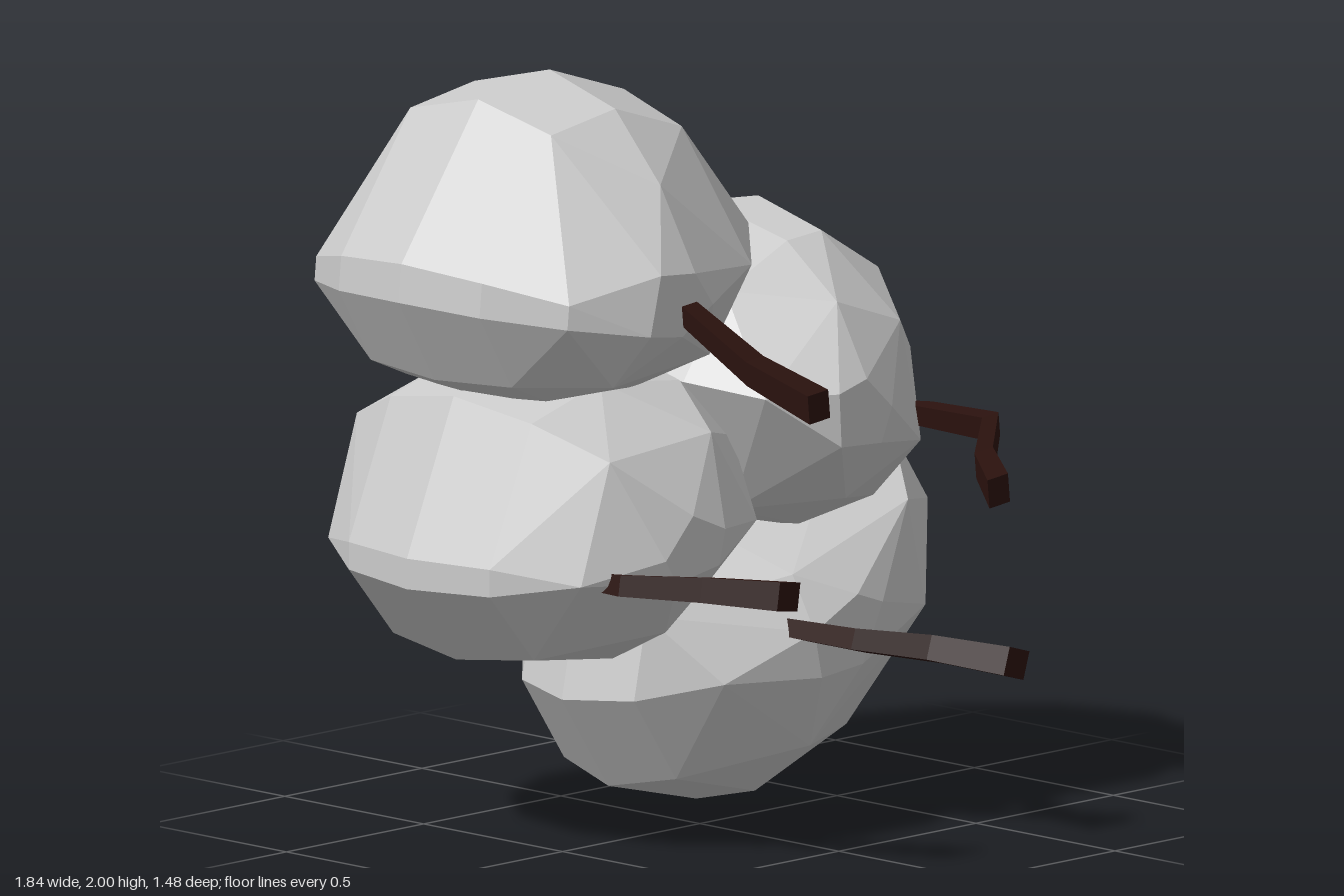
import * as THREE from 'three';
import { ConvexGeometry } from 'three/addons/geometries/ConvexGeometry.js';

const foliage = new THREE.MeshStandardMaterial({ color: 0xcccccc, flatShading: true });
const bark = new THREE.MeshStandardMaterial({ color: 0x2b120e, flatShading: true });

// Box around a list of [x, y] points
const boxOf = (ring) => new THREE.Box2().setFromPoints(ring.map(([x, y]) => new THREE.Vector2(x, y)));

// Faceted lump: its front outline is repeated from back to front, shrinking
// towards the poles like a globe's parallels, and skinned as a hull.
function makeClump({ name, outline, back, front, pole }) {
  const box = boxOf(outline);
  const middle = box.getCenter(new THREE.Vector2());
  const half = box.getSize(new THREE.Vector2()).multiplyScalar(0.5);
  const points = [];
  for (let k = -3; k <= 3; k++) {
    const angle = THREE.MathUtils.degToRad(26 * k);
    const t = Math.sin(angle) / Math.sin(THREE.MathUtils.degToRad(78));
    const z = THREE.MathUtils.mapLinear(t, -1, 1, back, front);
    const centre = middle.clone().lerp(new THREE.Vector2(...pole), t * t);
    // The middle rings keep every corner, the others every second one in turn
    const ring = outline.filter((_, i) => Math.abs(k) < 2 || i % 2 === Math.abs(k) % 2);
    const size = boxOf(ring).getSize(new THREE.Vector2());
    const mid = boxOf(ring).getCenter(new THREE.Vector2());
    const scale = 2 * Math.cos(angle);
    ring.forEach(([x, y]) => points.push(new THREE.Vector3(
      centre.x + (x - mid.x) / size.x * half.x * scale,
      centre.y + (y - mid.y) / size.y * half.y * scale,
      z)));
  }
  const mesh = new THREE.Mesh(new ConvexGeometry(points), foliage);
  mesh.name = name;
  return mesh;
}

// Square branch following a path towards the front, thicker at its cut end
function makeBranch(name, path, roll) {
  const n = path.length - 1;
  const geo = new THREE.BoxGeometry(1, 1, 1, 1, 1, n);
  const pos = geo.attributes.position;
  for (let i = 0; i < pos.count; i++) {
    const k = Math.round((pos.getZ(i) + 0.5) * n);
    const width = 0.045 + 0.03 * (k / n);
    const x = pos.getX(i) * width, y = pos.getY(i) * width;
    pos.setXYZ(i,
      path[k][0] + x * Math.cos(roll) - y * Math.sin(roll),
      path[k][1] + x * Math.sin(roll) + y * Math.cos(roll),
      path[k][2]);
  }
  geo.computeVertexNormals();
  const mesh = new THREE.Mesh(geo, bark);
  mesh.name = name;
  return mesh;
}

// Front outlines, depth range and the point the outline shrinks towards
const clumps = [
  {
    name: 'topClump', back: -0.74, front: 0.39, pole: [-0.46, 1.48],
    outline: [[-0.92, 1.47], [-0.79, 1.25], [-0.65, 1.19], [-0.3, 1.18], [-0.08, 1.25],
      [0.17, 1.5], [0.17, 1.59], [-0.1, 1.91], [-0.37, 2.0], [-0.63, 1.96], [-0.91, 1.57]],
  },
  {
    name: 'rightClump', back: -0.73, front: 0.4, pole: [-0.42, 0.84],
    outline: [[-0.9, 0.72], [-0.72, 0.51], [-0.4, 0.47], [-0.02, 0.63], [0.14, 0.85],
      [0.08, 1.05], [-0.13, 1.24], [-0.45, 1.28], [-0.73, 1.2], [-0.9, 0.8]],
  },
  {
    name: 'leftClump', back: -0.74, front: 0.39, pole: [0.21, 1.1],
    outline: [[-0.17, 1.2], [0.03, 0.8], [0.3, 0.72], [0.6, 0.76], [0.74, 0.9],
      [0.75, 1.17], [0.62, 1.42], [0.39, 1.56], [0.25, 1.55], [0, 1.44]],
  },
  {
    name: 'bottomClump', back: -0.68, front: 0.22, pole: [0.32, 0.48],
    outline: [[-0.27, 0.33], [-0.1, 0.08], [0.22, 0], [0.59, 0.14], [0.88, 0.5],
      [0.92, 0.75], [0.78, 0.96], [0.5, 0.88], [0.12, 0.74], [-0.22, 0.57]],
  },
];

const branches = [
  ['topBranch', [[-0.46, 1.47, 0.26], [-0.43, 1.45, 0.39], [-0.375, 1.32, 0.57], [-0.31, 1.24, 0.735]], 0.1],
  ['rightBranch', [[-0.64, 0.765, 0.2], [-0.63, 0.765, 0.36], [-0.52, 0.765, 0.55], [-0.42, 0.76, 0.735]], -0.15],
  ['leftBranch', [[0.53, 1.02, 0.1], [0.55, 1.03, 0.27], [0.555, 1.03, 0.5], [0.42, 0.97, 0.61], [0.345, 0.925, 0.735]], 0.1],
  ['bottomBranch', [[0.16, 0.51, 0.12], [0.18, 0.51, 0.4], [0.31, 0.49, 0.55], [0.41, 0.465, 0.735]], -0.3],
];

export function createModel() {
  const model = new THREE.Group();
  model.name = 'foliageCluster';
  clumps.forEach((clump) => model.add(makeClump(clump)));
  branches.forEach((branch) => model.add(makeBranch(...branch)));
  return model;
}
